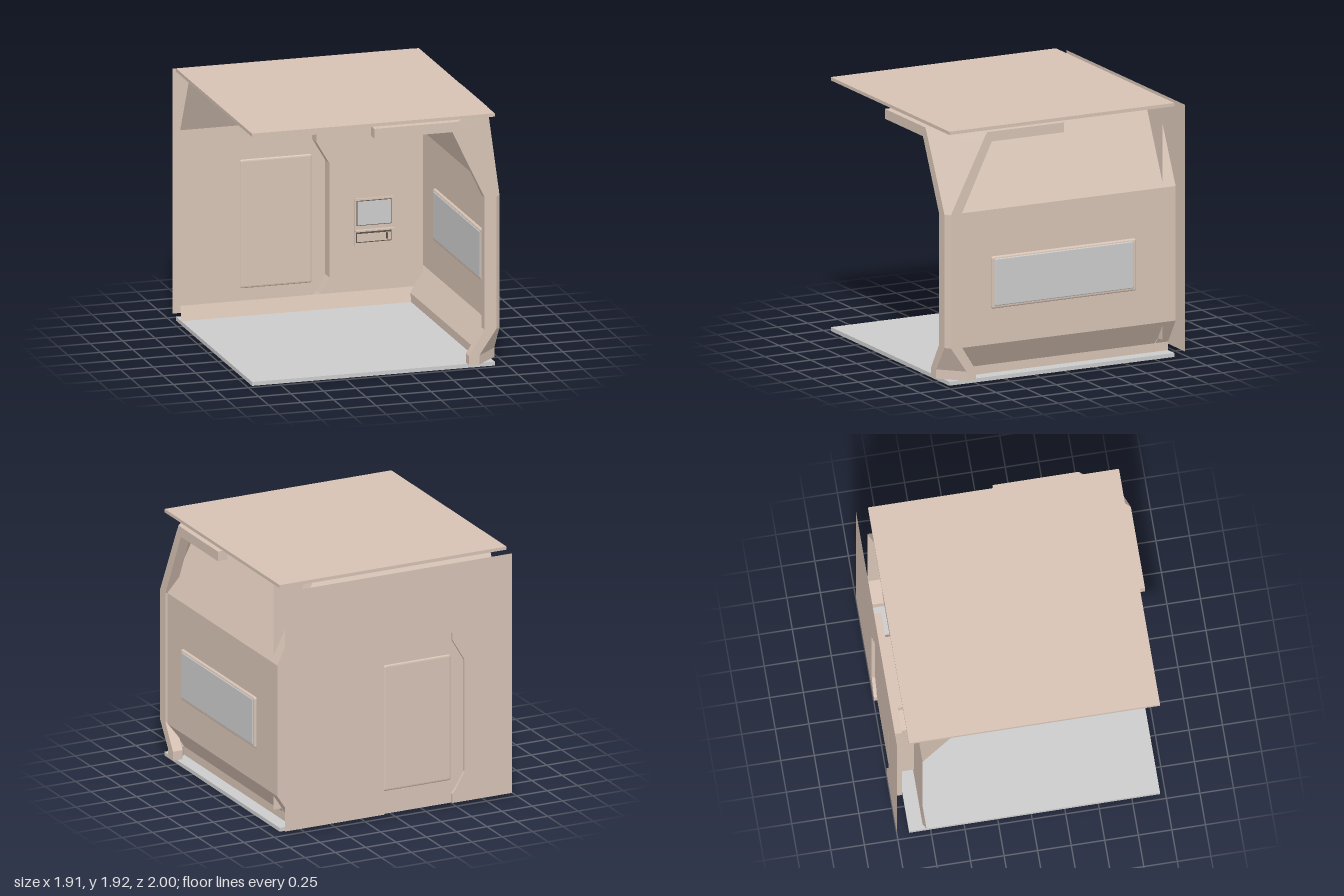
import * as THREE from 'three';
import { RoundedBoxGeometry } from 'three/addons/geometries/RoundedBoxGeometry.js';

const beige = new THREE.MeshStandardMaterial({ color: 0xd6c2b4, side: THREE.DoubleSide, flatShading: true });
const grey = new THREE.MeshStandardMaterial({ color: 0xcccccc, side: THREE.DoubleSide });
const dark = new THREE.MeshStandardMaterial({ color: 0x5c534c, side: THREE.DoubleSide });

export function createModel() {
  const room = new THREE.Group();
  room.name = 'roomCutaway';

  const add = (name, geometry, material = beige) => {
    const mesh = new THREE.Mesh(geometry, material);
    mesh.name = name;
    room.add(mesh);
    return mesh;
  };
  // box given by its limits on each axis
  const box = (name, [x0, x1], [y0, y1], [z0, z1], material, radius = 0) => {
    const size = [x1 - x0, y1 - y0, z1 - z0];
    const geometry = radius ? new RoundedBoxGeometry(...size, 2, radius) : new THREE.BoxGeometry(...size);
    add(name, geometry, material).position.set((x0 + x1) / 2, (y0 + y1) / 2, (z0 + z1) / 2);
  };
  // surface through rows of points
  const loft = (rows, closed = false) => {
    const n = rows[0].length, index = [];
    for (let j = 0; j < rows.length - 1; j++)
      for (let i = 0; i < (closed ? n : n - 1); i++) {
        const a = j * n + i, b = j * n + (i + 1) % n;
        index.push(a, a + n, b, b, a + n, b + n);
      }
    if (closed) // caps for the eight-point corner section
      for (const [base, flip] of [[0, false], [(rows.length - 1) * n, true]])
        for (let i = 0; i < 3; i++) {
          const [a, b, c, d] = [i, i + 1, 6 - i, 7 - i].map(k => base + k);
          index.push(...(flip ? [a, b, c, a, c, d] : [a, c, b, a, d, c]));
        }
    const g = new THREE.BufferGeometry();
    g.setAttribute('position', new THREE.Float32BufferAttribute(rows.flat(2), 3));
    g.setIndex(index);
    const flat = g.toNonIndexed();
    flat.computeVertexNormals();
    return flat;
  };

  // floor and ceiling slabs
  box('floor', [-0.96, 0.91], [0, 0.03], [-0.91, 0.96], grey);
  box('ceiling', [-0.96, 0.91], [1.9, 1.925], [-0.91, 0.96]);

  // corner pillar with beams: [height, flange reach, corner chamfer]
  const levels = [
    [0.03, 0.245, 0.165], [0.1, 0.245, 0.165], [0.29, 0.125, 0.035], [1.3, 0.125, 0.035],
    [1.82, 0.375, 0.295], [1.82, 0.975, 0.295], [1.895, 0.975, 0.335],
  ];
  const X = 0.945, Z = 1, T = 0.08;
  add('cornerPillar', loft(levels.map(([y, e, c]) => {
    const k = c + 0.05;
    return [
      [X - e, y, Z], [X - c, y, Z], [X, y, Z - c], [X, y, Z - e],
      [X - T, y, Z - e], [X - T, y, Z - k], [X - k, y, Z - T], [X - e, y, Z - T],
    ];
  }), true));

  // side wall, leaning in at the top and the foot
  const sideProfile = [[0.81, 0.03], [0.81, 0.095], [0.93, 0.28], [0.93, 1.3], [0.64, 1.9]];
  add('sideWall', loft(sideProfile.map(([x, y]) => [[x, y, 0.9], [x, y, -0.91]])));

  // side window
  box('windowFrame', [0.91, 0.95], [0.55, 0.945], [-0.575, 0.625], beige, 0.015);
  box('windowGlass', [0.905, 0.955], [0.57, 0.93], [-0.555, 0.605], grey, 0.01);

  // doorway outline, foot to foot
  const doorX = -0.19;
  const half = [[0.28, 0.03], [0.28, 0.1], [0.31, 0.14], [0.38, 0.26], [0.38, 1.13], [0.28, 1.3], [0.28, 1.36]];
  const doorway = [
    ...half.map(([x, y]) => [doorX - x, y]),
    ...half.slice().reverse().map(([x, y]) => [doorX + x, y]),
  ];
  const doorWall = (name, y0, y1, z) => {
    const opening = doorway.filter(p => p[1] >= y0);
    const outline = [[-0.96, y0], ...opening, [0.91, y0], [0.91, y1], [-0.96, y1]];
    const shape = new THREE.Shape(outline.map(p => new THREE.Vector2(...p)));
    add(name, new THREE.ShapeGeometry(shape)).position.z = z;
  };
  doorWall('backWallOuter', 0.03, 1.9, -1);
  doorWall('backWallInner', 0.14, 1.48, -0.81);
  add('doorJamb', loft([-1, -0.81].map(z => doorway.map(([x, y]) => [x, y, z]))));

  // inner back wall: sloped head, sloped base and the fill beside the side wall
  add('backWallHead', loft([
    [[-0.96, 1.48, -0.81], [0.84, 1.48, -0.81]],
    [[-0.96, 1.9, -0.6], [0.64, 1.9, -0.6]],
  ]));
  add('backWallBase', loft([
    [[-0.96, 0.03, -0.78], [0.81, 0.03, -0.78]],
    [[-0.96, 0.14, -0.81], [0.84, 0.14, -0.81]],
  ]));
  add('backWallFill', loft([
    [[0.84, 1.48, -0.81], [0.91, 1.48, -0.81]],
    [[0.64, 1.9, -0.81], [0.91, 1.9, -0.81]],
  ]));

  // sliding door with a raised panel on both faces
  box('door', [-0.67, 0.285], [0.03, 1.36], [-0.975, -0.915]);
  box('doorPanel', [-0.47, 0.09], [0.2, 1.19], [-0.983, -0.907], beige, 0.02);

  // wall terminal: frame bars, screen and a slot with a handle
  const wz = -0.81;
  box('terminalPlate', [0.38, 0.68], [0.485, 0.845], [wz, wz + 0.012]);
  box('screenRim', [0.395, 0.665], [0.64, 0.83], [wz, wz + 0.015], dark);
  box('screen', [0.4, 0.66], [0.645, 0.825], [wz, wz + 0.018], grey);
  box('terminalLedge', [0.38, 0.68], [0.6, 0.61], [wz, wz + 0.04]);
  box('slotRim', [0.39, 0.665], [0.51, 0.59], [wz, wz + 0.015], dark);
  box('slot', [0.397, 0.658], [0.517, 0.578], [wz, wz + 0.018]);
  box('slotHandle', [0.62, 0.63], [0.53, 0.575], [wz, wz + 0.03], dark);

  return room;
}
